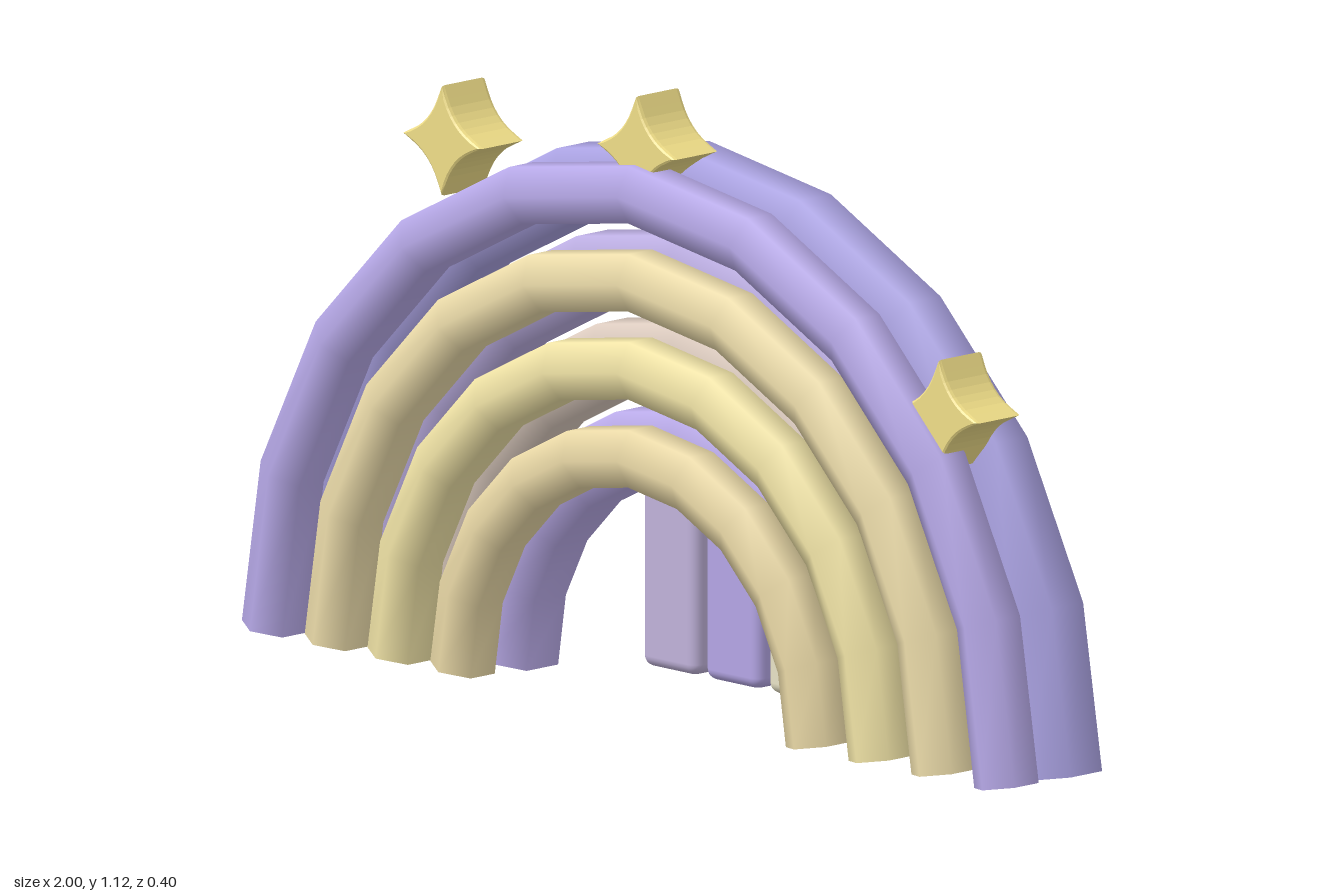
import * as THREE from 'three';
import { RoundedBoxGeometry } from 'three/addons/geometries/RoundedBoxGeometry.js';

const paint = (color) => new THREE.MeshStandardMaterial({ color, side: THREE.DoubleSide });

// Hexagonal tube bent through ten straight steps of a half circle
function arch(name, R, r, z, color) {
  const points = [];
  for (let i = 0; i <= 10; i++) {
    const a = (i / 10) * Math.PI;
    points.push(new THREE.Vector3(R * Math.cos(a), 0.011 + R * Math.sin(a), z));
  }
  const curve = new THREE.CatmullRomCurve3(points);
  const mesh = new THREE.Mesh(new THREE.TubeGeometry(curve, 10, r, 6, false), paint(color));
  mesh.name = name;
  return mesh;
}

// Four-pointed star with concave sides, lightly bevelled
function starGeometry() {
  const tip = 0.093, c = 0.022;
  const shape = new THREE.Shape();
  shape.moveTo(tip, 0);
  shape.quadraticCurveTo(c, c, 0, tip);
  shape.quadraticCurveTo(-c, c, -tip, 0);
  shape.quadraticCurveTo(-c, -c, 0, -tip);
  shape.quadraticCurveTo(c, -c, tip, 0);
  const geo = new THREE.ExtrudeGeometry(shape, {
    depth: 0.094, curveSegments: 8, bevelEnabled: true,
    bevelThickness: 0.008, bevelSize: 0.005, bevelSegments: 2,
  });
  return geo.translate(0, 0, -0.047);
}

export function createModel() {
  const group = new THREE.Group();
  group.name = 'rainbow';

  // Two layers of four nested arches, outermost first
  const radii = [0.933, 0.773, 0.613, 0.453];
  const backColors = [0xaaa2e2, 0xbcaee2, 0xdccbbf, 0xb9aae8];
  const frontColors = [0xb7a9e8, 0xecdcaa, 0xf0e3a6, 0xe9d8a6];
  radii.forEach((R, i) => {
    group.add(arch('backArch' + (i + 1), R, 0.078, 0.007, backColors[i]));
    group.add(arch('frontArch' + (i + 1), R, 0.06, 0.14, frontColors[i]));
  });

  // Rounded upright bars behind the opening
  [[-0.177, 0xc0b2da], [-0.017, 0xb5a6e6], [0.143, 0xe9e3c6]].forEach(([x, color], i) => {
    const bar = new THREE.Mesh(new RoundedBoxGeometry(0.14, 0.38, 0.1, 3, 0.02), paint(color));
    bar.position.set(x, 0.2, -0.15);
    bar.name = 'bar' + (i + 1);
    group.add(bar);
  });

  // Stars
  const geo = starGeometry();
  [[0, 1.02, 0.098], [-0.743, 0.888, -0.143], [0.777, 0.662, 0.104]].forEach((p, i) => {
    const star = new THREE.Mesh(geo, paint(0xf0de88));
    star.position.set(...p);
    star.name = 'star' + (i + 1);
    group.add(star);
  });

  return group;
}
